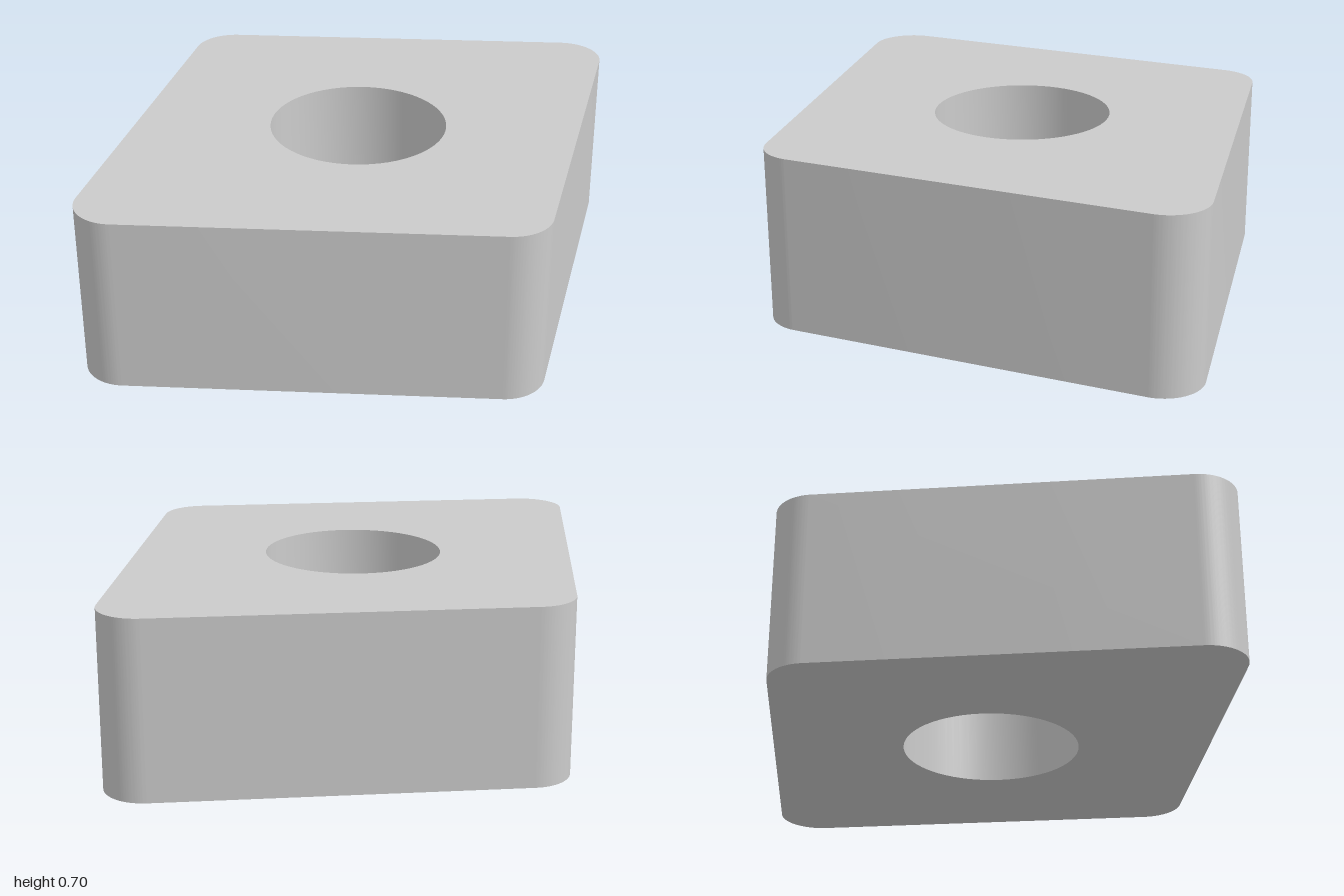
import * as THREE from 'three';
import { toCreasedNormals } from 'three/addons/utils/BufferGeometryUtils.js';

const ANGLE = THREE.MathUtils.degToRad(80); // acute corner of the rhombus
const HALF_DEPTH = 0.865;
const HEIGHT = 0.697;
const CORNER = 0.163;
const HOLE = 0.35;

export function createModel() {
  const group = new THREE.Group();
  group.name = 'rhombicInsert';

  // Rhombus inset by the corner radius: its corners are the arc centres
  const inset = HALF_DEPTH - CORNER;
  const halfSide = inset / Math.sin(ANGLE);
  const shear = inset / Math.tan(ANGLE);
  const tilt = Math.PI / 2 - ANGLE;

  // Rounded outline, counter-clockwise from the front right corner
  const outline = new THREE.Shape();
  for (const half of [0, 1]) {
    const s = half ? -1 : 1;
    const turn = half * Math.PI;
    outline.absarc(s * (halfSide - shear), -s * inset, CORNER, turn - Math.PI / 2, turn - tilt, false);
    outline.absarc(s * (halfSide + shear), s * inset, CORNER, turn - tilt, turn + Math.PI / 2, false);
  }
  outline.closePath();

  // Round through hole
  outline.holes.push(new THREE.Path().absarc(0, 0, HOLE, 0, Math.PI * 2, true));

  const extruded = new THREE.ExtrudeGeometry(outline, {
    depth: HEIGHT, bevelEnabled: false, curveSegments: 32,
  });
  extruded.rotateX(-Math.PI / 2);

  const body = new THREE.Mesh(
    toCreasedNormals(extruded, Math.PI / 6),
    new THREE.MeshStandardMaterial({ color: 0xcccccc }),
  );
  body.name = 'body';
  group.add(body);
  return group;
}
